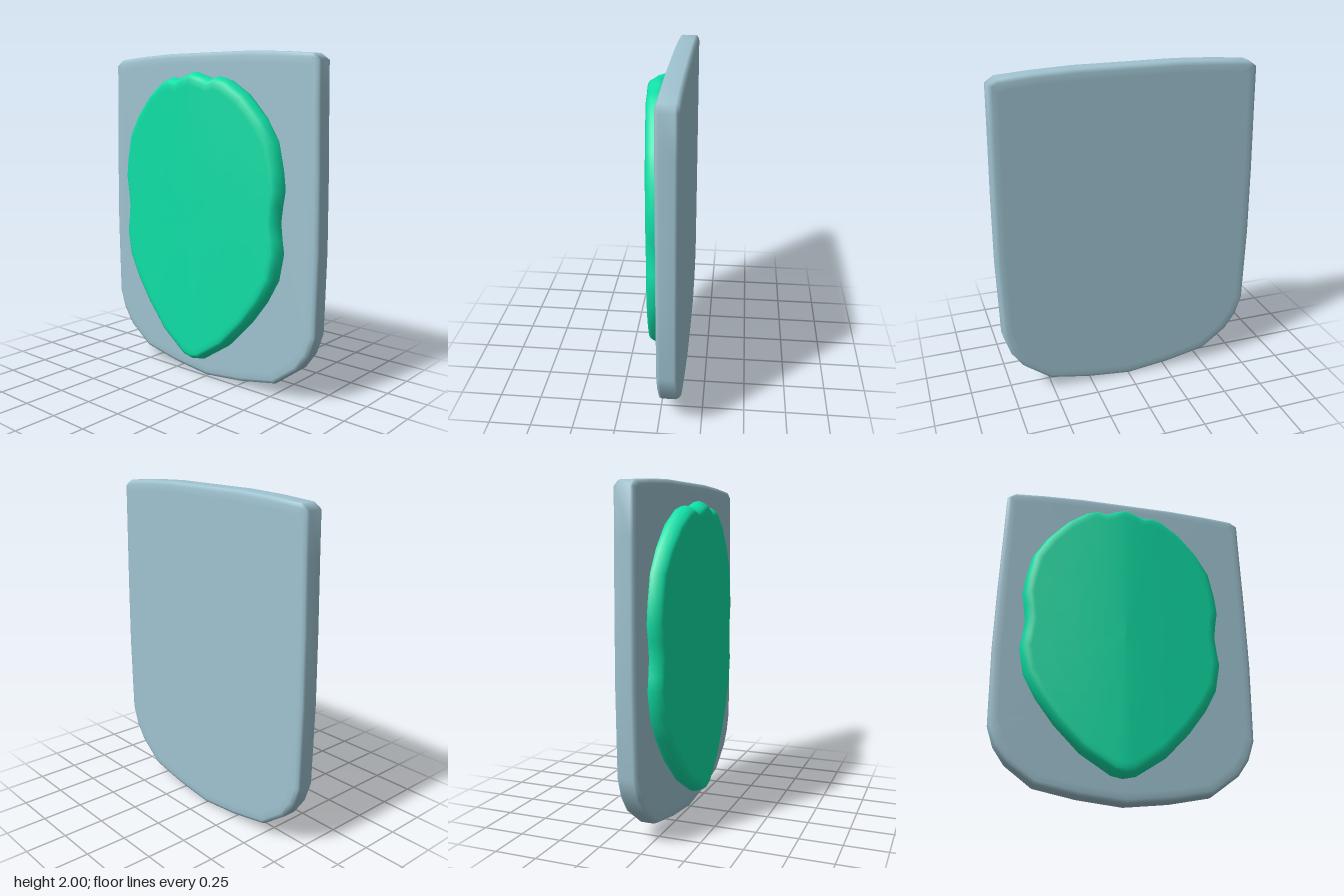
import * as THREE from 'three';

// Mirror a half outline (top centre, down the -x side, bottom centre) into a closed loop.
function mirrorOutline(half) {
  const left = half.map(([x, y]) => new THREE.Vector2(-x, y));
  const right = half.slice(1, -1).reverse().map(([x, y]) => new THREE.Vector2(x, y));
  return [...left, ...right];
}

// Move every corner of the loop inwards along its averaged normal.
function inset(loop, d) {
  const n = loop.length;
  return loop.map((p, i) => {
    const t = loop[(i + 1) % n].clone().sub(loop[(i + n - 1) % n]).normalize();
    return new THREE.Vector2(p.x - t.y * d, p.y + t.x * d);
  });
}

// Pillow-edged slab: rim profile of [inset, z] from back to front, closed by shrinking rings.
function slab(outline, rim, centre, bend = () => 0) {
  const n = outline.length;
  const scales = [0, 0.25, 0.5, 0.75, 0.96];
  const rings = [];
  const capRing = (s, [d, z]) =>
    rings.push({ z, pts: inset(outline, d).map((p) => p.sub(centre).multiplyScalar(s).add(centre)) });
  scales.forEach((s) => capRing(s, rim[0]));
  rim.forEach((r) => capRing(1, r));
  [...scales].reverse().forEach((s) => capRing(s, rim[rim.length - 1]));

  const pos = [], index = [];
  rings.forEach(({ pts, z }) => pts.forEach((p) => pos.push(p.x, p.y, z + bend(p.x))));
  for (let r = 0; r < rings.length - 1; r++) {
    for (let i = 0; i < n; i++) {
      const j = (i + 1) % n;
      const a = r * n + i, b = r * n + j, c = a + n, d = b + n;
      if (r > 0) index.push(a, b, d);
      if (r < rings.length - 2) index.push(a, d, c);
      else index[index.length - 1] = c; // front pole
    }
  }
  const geo = new THREE.BufferGeometry();
  geo.setAttribute('position', new THREE.Float32BufferAttribute(pos, 3));
  geo.setIndex(index);
  geo.computeVertexNormals();
  return geo;
}

export function createModel() {
  const group = new THREE.Group();
  const add = (name, geo, color) => {
    const mesh = new THREE.Mesh(geo, new THREE.MeshStandardMaterial({ color }));
    mesh.name = name;
    group.add(mesh);
    return mesh;
  };

  // Flat plate with a nearly straight top and a rounded bottom
  const plate = mirrorOutline([
    [0, 2], [0.3, 2], [0.53, 1.99], [0.73, 1.975], [0.78, 1.94], [0.785, 1.7],
    [0.795, 1.3], [0.8, 0.9], [0.79, 0.42], [0.75, 0.3], [0.68, 0.2], [0.52, 0.08],
    [0.27, 0.03], [0, 0],
  ]);
  const plateRim = [[0.025, -0.123], [0.006, -0.115], [0, -0.1], [0, -0.023], [0.006, -0.008], [0.025, 0]];
  add('backPlate', slab(plate, plateRim, new THREE.Vector2(0, 1)), 0x9fc3d0);

  // Raised emblem, gently folded back either side of its centre line
  const emblem = mirrorOutline([
    [0, 1.89], [0.07, 1.868], [0.125, 1.845], [0.18, 1.86], [0.25, 1.84], [0.37, 1.76],
    [0.49, 1.63], [0.57, 1.5], [0.605, 1.34], [0.618, 1.23], [0.603, 1.14], [0.592, 1.045],
    [0.603, 0.95], [0.615, 0.87], [0.585, 0.71], [0.51, 0.57], [0.4, 0.42], [0.25, 0.26],
    [0.07, 0.14], [0, 0.125],
  ]);
  const emblemRim = [[0.06, 0.003], [0.025, 0.01], [0.006, 0.03], [0, 0.06], [0.01, 0.092], [0.025, 0.114], [0.042, 0.123]];
  const fold = (x) => -0.095 * (Math.sqrt(x * x + 0.01) - 0.1);
  add('emblem', slab(emblem, emblemRim, new THREE.Vector2(0, 1), fold), 0x0fdfa6).position.x = -0.03;

  return group;
}
